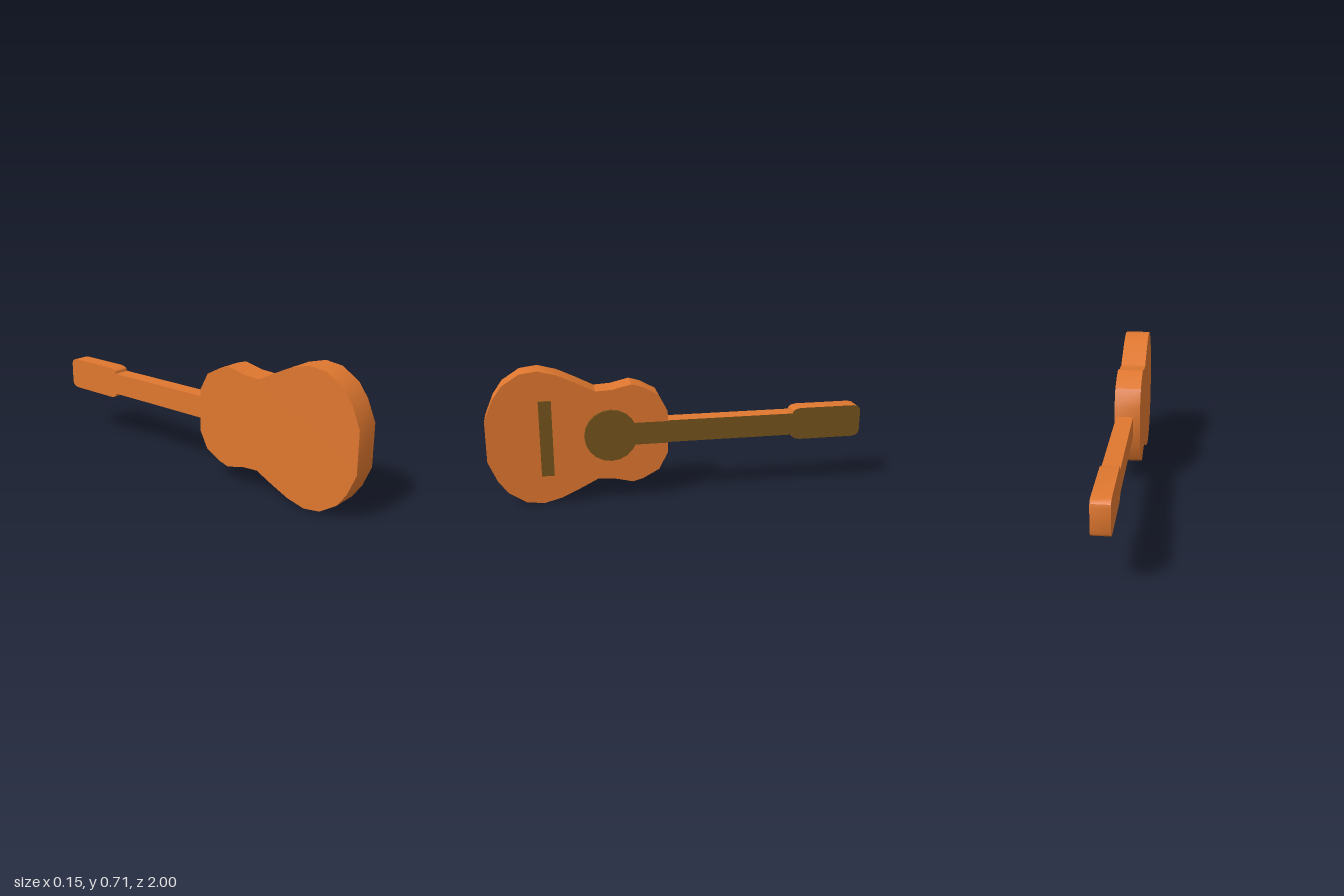
import * as THREE from 'three';
import { toCreasedNormals } from 'three/addons/utils/BufferGeometryUtils.js';

const MID = 0.356; // height of the instrument's long axis
const wood = new THREE.MeshStandardMaterial({ color: 0xdf772f });
const dark = new THREE.MeshStandardMaterial({ color: 0x75531b });

// Shape symmetric about the long axis, from [z, half height] pairs
function mirroredShape(half) {
  const upper = half.map(([z, h]) => new THREE.Vector2(-z, h));
  const lower = half.map(([z, h]) => new THREE.Vector2(-z, -h)).reverse();
  return new THREE.Shape([...lower, ...upper]);
}

function place(name, geometry, material, x) {
  geometry.rotateY(Math.PI / 2); // shape x runs along -z, depth along +x
  const mesh = new THREE.Mesh(geometry, material);
  mesh.name = name;
  mesh.position.set(x, MID, 0);
  return mesh;
}

// Solid slab between two x positions
function slab(name, shape, material, x0, x1) {
  const geometry = new THREE.ExtrudeGeometry(shape, { depth: x1 - x0, bevelEnabled: false });
  return place(name, toCreasedNormals(geometry, 0.5), material, x0);
}

const sheet = (name, shape, x) => place(name, new THREE.ShapeGeometry(shape), dark, x);

export function createModel() {
  const guitar = new THREE.Group();
  guitar.name = 'guitar';

  // Waisted body
  const body = mirroredShape([
    [1, 0.109], [0.955, 0.216], [0.905, 0.286], [0.815, 0.344], [0.725, 0.356],
    [0.63, 0.331], [0.54, 0.289], [0.44, 0.238], [0.355, 0.243], [0.255, 0.267],
    [0.2, 0.251], [0.115, 0.205], [0.068, 0.114],
  ]);
  guitar.add(slab('body', body, wood, -0.078, 0.06));

  // Neck and rounded headstock, each with a dark front face
  const neck = mirroredShape([[0.09, 0.06], [-0.63, 0.06]]);
  const head = mirroredShape([
    [-0.615, 0.06], [-0.622, 0.075], [-0.637, 0.084], [-0.66, 0.088],
    [-0.96, 0.088], [-0.982, 0.083], [-0.995, 0.072], [-1, 0.056],
  ]);
  for (const [name, shape] of [['neck', neck], ['headstock', head]]) {
    guitar.add(slab(name, shape, wood, -0.04, 0.05));
    guitar.add(sheet(name + 'Face', shape, 0.0508));
  }

  // Fingerboard lying on the body, from its edge to the sound hole
  guitar.add(sheet('fingerboard', mirroredShape([[0.3, 0.06], [0.068, 0.06]]), 0.0608));

  // Raised sound hole disc
  const disc = new THREE.CylinderGeometry(0.138, 0.138, 0.016, 20);
  disc.rotateZ(Math.PI / 2);
  const soundHole = new THREE.Mesh(disc, dark);
  soundHole.name = 'soundHole';
  soundHole.position.set(0.068, MID + 0.001, 0.367);
  guitar.add(soundHole);

  // Bridge
  guitar.add(slab('bridge', mirroredShape([[0.73, 0.201], [0.665, 0.201]]), dark, 0.06, 0.07));

  return guitar;
}
